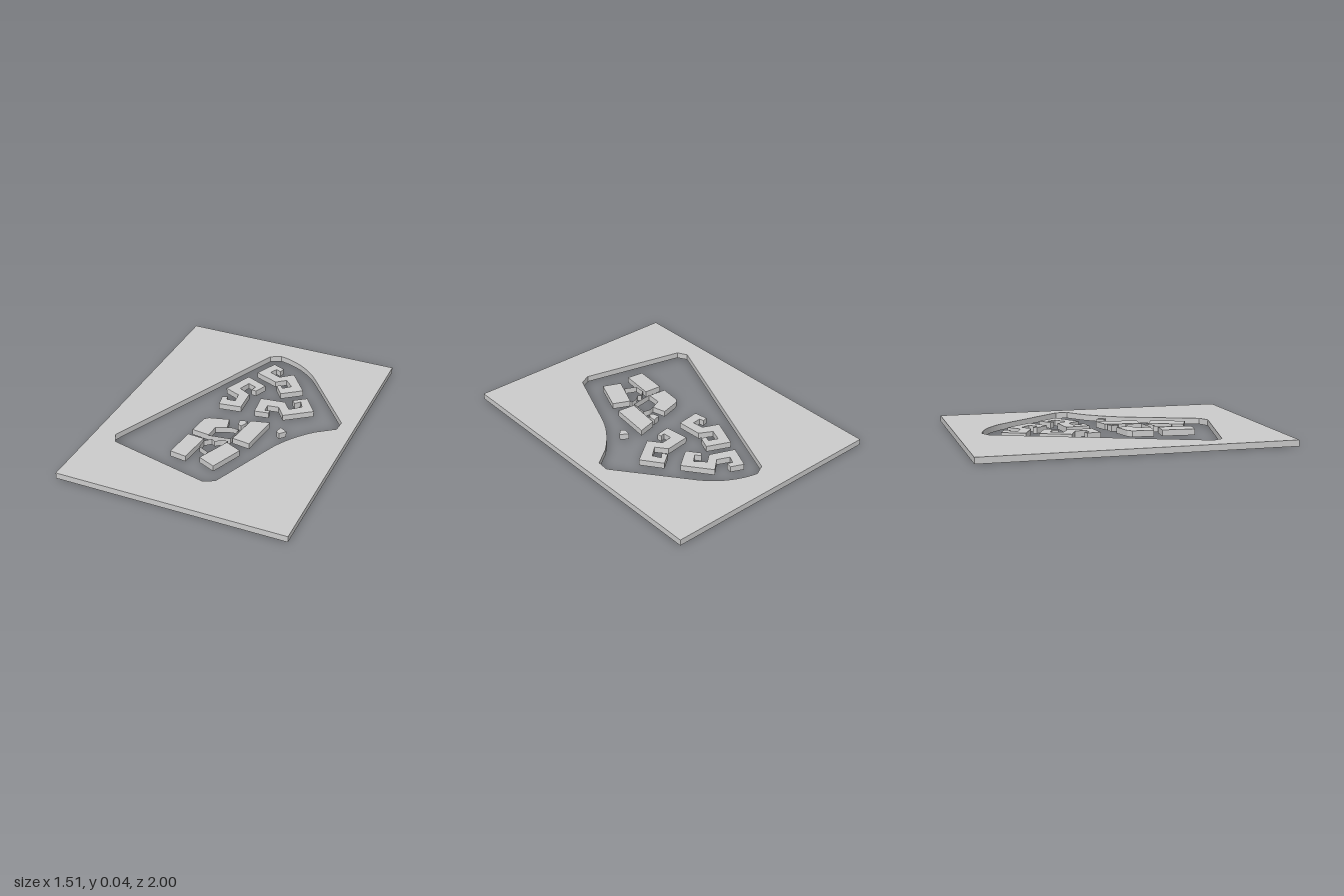
import * as THREE from 'three';

const HEIGHT = 0.04;
const material = new THREE.MeshStandardMaterial({ color: 0xcccccc });
const wallMaterial = new THREE.MeshStandardMaterial({ color: 0xcccccc, side: THREE.DoubleSide });

// Plans are lists of [x, z]; shapes are drawn in (x, -z) and laid flat.
const toPoints = plan => plan.map(([x, z]) => new THREE.Vector2(x, -z));

function slab(name, shape) {
  const geometry = new THREE.ExtrudeGeometry(shape, { depth: HEIGHT, bevelEnabled: false, curveSegments: 12 });
  geometry.rotateX(-Math.PI / 2);
  const mesh = new THREE.Mesh(geometry, material);
  mesh.name = name;
  return mesh;
}

// Open vertical wall that follows a closed plan, without caps
function wallLoop(name, plan) {
  const n = plan.length;
  const strip = new THREE.PlaneGeometry(1, HEIGHT, n, 1);
  const pos = strip.attributes.position;
  for (let i = 0; i < pos.count; i++) {
    const [x, z] = plan[(i % (n + 1)) % n];
    pos.setXYZ(i, x, i <= n ? HEIGHT : 0, z);
  }
  const geometry = strip.toNonIndexed();
  geometry.computeVertexNormals();
  const mesh = new THREE.Mesh(geometry, wallMaterial);
  mesh.name = name;
  return mesh;
}

const buildings = {
  northCourtBlock: [[-0.015, -0.715], [0.068, -0.68], [0.06, -0.64], [0.025, -0.655], [0, -0.605],
    [0.08, -0.57], [0.16, -0.64], [0.29, -0.47], [0.165, -0.375], [0.105, -0.455], [0.125, -0.48],
    [0.15, -0.445], [0.2, -0.49], [0.14, -0.55], [0.08, -0.5], [-0.08, -0.565]],
  westCourtBlock: [[-0.115, -0.49], [0.035, -0.425], [0, -0.34], [-0.035, -0.345], [-0.02, -0.385],
    [-0.08, -0.41], [-0.11, -0.33], [-0.025, -0.285], [-0.015, -0.12], [-0.165, -0.1], [-0.18, -0.19],
    [-0.145, -0.2], [-0.14, -0.17], [-0.08, -0.175], [-0.09, -0.25], [-0.195, -0.295]],
  eastCourtBlock: [[0.065, -0.27], [0.23, -0.29], [0.285, -0.22], [0.355, -0.28], [0.325, -0.335],
    [0.295, -0.3], [0.27, -0.33], [0.35, -0.39], [0.445, -0.26], [0.275, -0.135], [0.215, -0.215],
    [0.14, -0.205], [0.145, -0.145], [0.175, -0.155], [0.18, -0.125], [0.085, -0.11]],
  cornerHall: [[-0.155, 0.08], [-0.025, 0.045], [0, 0.135], [-0.07, 0.165], [-0.075, 0.26],
    [-0.195, 0.245], [-0.18, 0.105]],
  eastHall: [[0.11, 0.005], [0.23, -0.025], [0.2, 0.25], [0.08, 0.235]],
  southWestHall: [[-0.2, 0.3], [-0.085, 0.31], [-0.11, 0.53], [-0.22, 0.515]],
  southEastHall: [[0.065, 0.29], [0.175, 0.34], [0.09, 0.555], [-0.025, 0.505]],
  smallPavilion: [[0.04, 0.03], [0.09, 0.015], [0.09, 0.05], [0.075, 0.085], [0.05, 0.075]],
  outerPavilion: [[0.315, 0], [0.365, 0.03], [0.33, 0.07], [0.305, 0.05]],
};

const courtyards = {
  northCourtyardWall: [[0, 0.135], [0.04, 0.125], [0.08, 0.135], [0.07, 0.245], [-0.075, 0.265], [-0.07, 0.165]],
  southCourtyardWall: [[-0.075, 0.33], [-0.035, 0.295], [-0.01, 0.31], [0.025, 0.28], [0.065, 0.275],
    [0.07, 0.295], [0, 0.435], [-0.075, 0.4]],
};

export function createModel() {
  const group = new THREE.Group();
  group.name = 'sitePlan';

  // Base sheet with the site outline cut through it
  const sheet = new THREE.Shape(toPoints([[-0.755, 1], [0.755, 1], [0.755, -1], [-0.755, -1]]));
  const site = new THREE.Path();
  site.moveTo(-0.08, 0.8);
  site.lineTo(-0.01, 0.835);
  site.quadraticCurveTo(0.18, 0.8, 0.31, 0.645);
  site.lineTo(0.655, 0.205);
  site.lineTo(0.65, 0.125);
  site.lineTo(0.535, 0.04);
  site.quadraticCurveTo(0.39, -0.1, 0.33, -0.265);
  site.lineTo(0.165, -0.685);
  site.lineTo(0.093, -0.72);
  site.lineTo(-0.585, -0.56);
  site.lineTo(-0.62, -0.495);
  site.closePath();
  sheet.holes.push(site);
  group.add(slab('baseSheet', sheet));

  // Free-standing building blocks
  for (const [name, plan] of Object.entries(buildings)) {
    group.add(slab(name, new THREE.Shape(toPoints(plan))));
  }

  // Open courtyard walls between the halls
  for (const [name, plan] of Object.entries(courtyards)) {
    group.add(wallLoop(name, plan));
  }
  return group;
}
